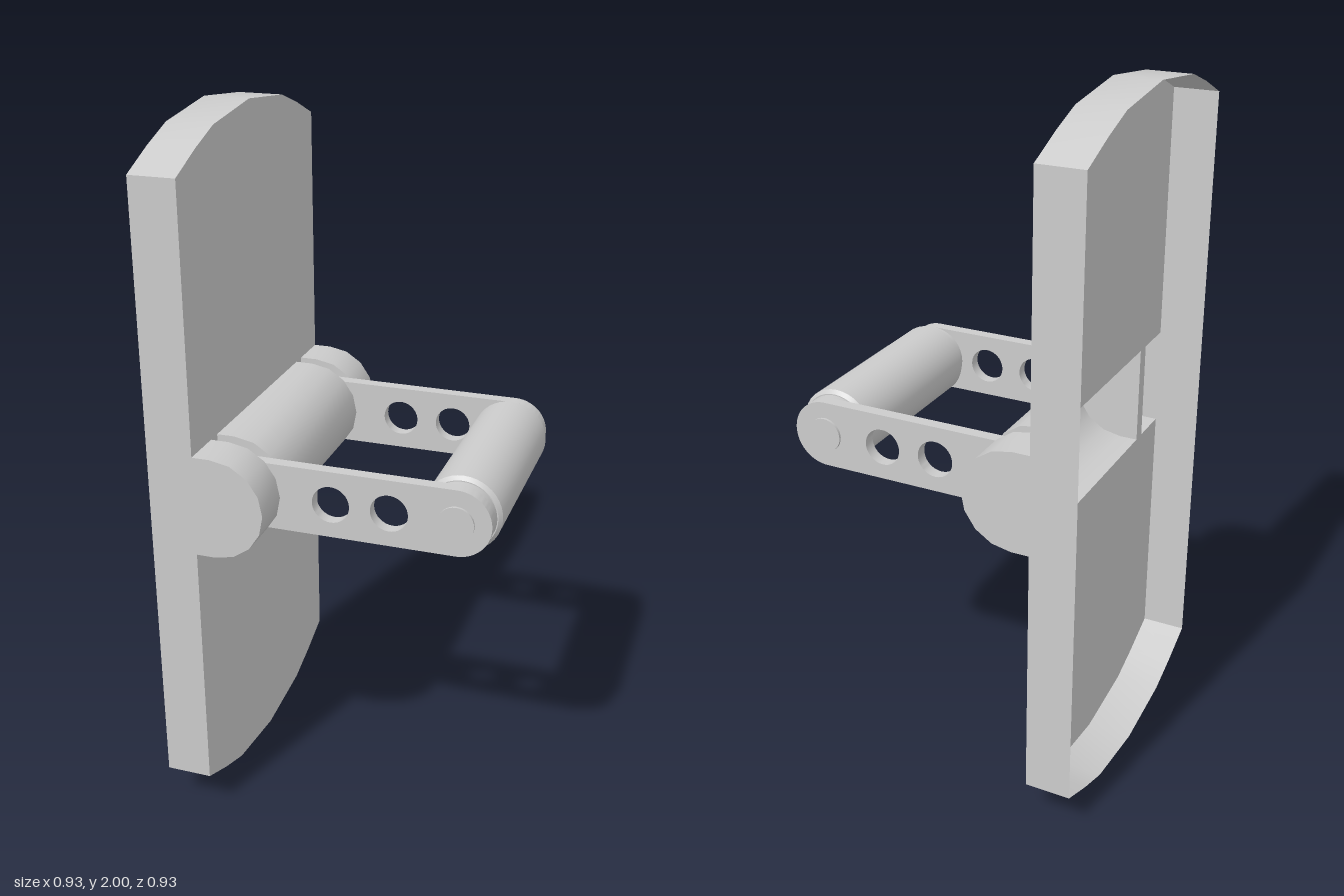
import * as THREE from 'three';
import { toCreasedNormals } from 'three/addons/utils/BufferGeometryUtils.js';

const HALF = 0.465, FACE = -0.337, BACK = -0.469;   // plate half width, front sheet x, open rim x
const PIVOT_X = -0.285, HOUSING_R = 0.145;
const GRIP_X = 0.355, ARM_R = 0.097, ARM_START = -0.238;

const solid = new THREE.MeshStandardMaterial({ color: 0xcccccc });
const sheet = new THREE.MeshStandardMaterial({ color: 0xcccccc, side: THREE.DoubleSide });

// Thin surface swept along z through a line of [x, y] points
function sweep(points, z0, z1) {
  const pos = [];
  for (let i = 0; i < points.length - 1; i++) {
    const [ax, ay] = points[i], [bx, by] = points[i + 1];
    pos.push(ax, ay, z0, bx, by, z0, bx, by, z1, ax, ay, z0, bx, by, z1, ax, ay, z1);
  }
  const geo = new THREE.BufferGeometry();
  geo.setAttribute('position', new THREE.Float32BufferAttribute(pos, 3));
  return toCreasedNormals(geo, 0.7);
}

const shapeOf = (points) => new THREE.Shape(points.map(([x, y]) => new THREE.Vector2(x, y)));

export function createModel() {
  const model = new THREE.Group();
  const add = (name, geo, mat = solid, parent = model) => {
    const mesh = new THREE.Mesh(geo, mat);
    mesh.name = name;
    parent.add(mesh);
    return mesh;
  };

  // Plate: thin front sheet and rim, open at the back and behind the housing
  const plate = new THREE.Group();
  plate.name = 'plate';
  model.add(plate);
  const arc = [[-HALF, 1.885], [-0.345, 1.935], [-0.235, 1.973], [0, 2],
    [0.235, 1.973], [0.345, 1.935], [HALF, 1.885]];
  const lower = arc.map(([u, y]) => [-u, 2 - y]);
  const edge = 1 + HOUSING_R;
  const panels = {
    upperPanel: [...arc, [HALF, edge], [-HALF, edge]].reverse(),
    lowerPanel: [...lower, [-HALF, 2 - edge], [HALF, 2 - edge]].reverse(),
  };
  for (const [name, points] of Object.entries(panels)) {
    const geo = new THREE.ShapeGeometry(shapeOf(points));
    geo.rotateY(Math.PI / 2);
    geo.translate(FACE, 0, 0);
    add(name, geo, sheet, plate);
  }
  const rim = sweep([...arc, ...lower, arc[0]], BACK, FACE);
  rim.rotateY(Math.PI / 2);
  add('rim', rim, sheet, plate);

  // Hollow hinge housing in three segments, separated by the arm slots
  const profile = [[FACE, edge]];
  for (let i = 0; i <= 8; i++) {
    const a = Math.PI / 2 - (i / 8) * Math.PI;
    profile.push([PIVOT_X + HOUSING_R * Math.cos(a), 1 + HOUSING_R * Math.sin(a)]);
  }
  profile.push([FACE, 2 - edge]);
  const segments = [[-HALF, -0.34], [-0.3, 0.3], [0.34, HALF]];
  segments.forEach(([z0, z1], i) => {
    const housing = new THREE.Group();
    housing.name = ['rearHousing', 'middleHousing', 'frontHousing'][i];
    model.add(housing);
    add('housingShell', sweep(profile, z0, z1), sheet, housing);
    for (const z of [z0, z1]) {
      add('housingEnd', new THREE.ShapeGeometry(shapeOf(profile)), sheet, housing).position.z = z;
    }
  });

  // Two arms with round ends and lightening holes, plus slot floors and pins
  const arm = new THREE.Shape();
  arm.absarc(GRIP_X, 1, ARM_R, -Math.PI / 2, Math.PI / 2, false);
  arm.absarc(ARM_START, 1, ARM_R, Math.PI / 2, Math.PI * 1.5, false);
  arm.closePath();
  for (const x of [0.005, 0.17]) {
    const hole = new THREE.Path();
    hole.absarc(x, 1, 0.053, 0, Math.PI * 2, true);
    arm.holes.push(hole);
  }
  const armGeo = toCreasedNormals(
    new THREE.ExtrudeGeometry(arm, { depth: 0.036, bevelEnabled: false, curveSegments: 20 }), 0.7);
  for (const side of [-1, 1]) {
    const label = side > 0 ? 'front' : 'rear';
    add(label + 'Arm', armGeo).position.z = side * 0.32 - 0.018;

    const floor = add(label + 'SlotFloor', new THREE.PlaneGeometry(0.04, 2 * HOUSING_R), sheet, plate);
    floor.rotation.y = Math.PI / 2;
    floor.position.set(FACE, 1, side * 0.32);

    const pin = add(label + 'Pin', new THREE.CylinderGeometry(0.05, 0.05, 0.03, 32));
    pin.rotation.x = Math.PI / 2;
    pin.position.set(GRIP_X, 1, side * 0.33);

    const collar = add(label + 'Collar', new THREE.CylinderGeometry(ARM_R, ARM_R, 0.03, 40));
    collar.rotation.x = Math.PI / 2;
    collar.position.set(GRIP_X, 1, side * 0.288);
  }

  // Grip roller with chamfered ends
  const gripProfile = [[0, -0.283], [0.1, -0.283], [0.11, -0.272], [0.11, 0.272], [0.1, 0.283], [0, 0.283]]
    .map(([r, h]) => new THREE.Vector2(r, h));
  const grip = add('grip', toCreasedNormals(new THREE.LatheGeometry(gripProfile, 40), 0.5));
  grip.rotation.x = Math.PI / 2;
  grip.position.set(GRIP_X, 1, 0);

  return model;
}
